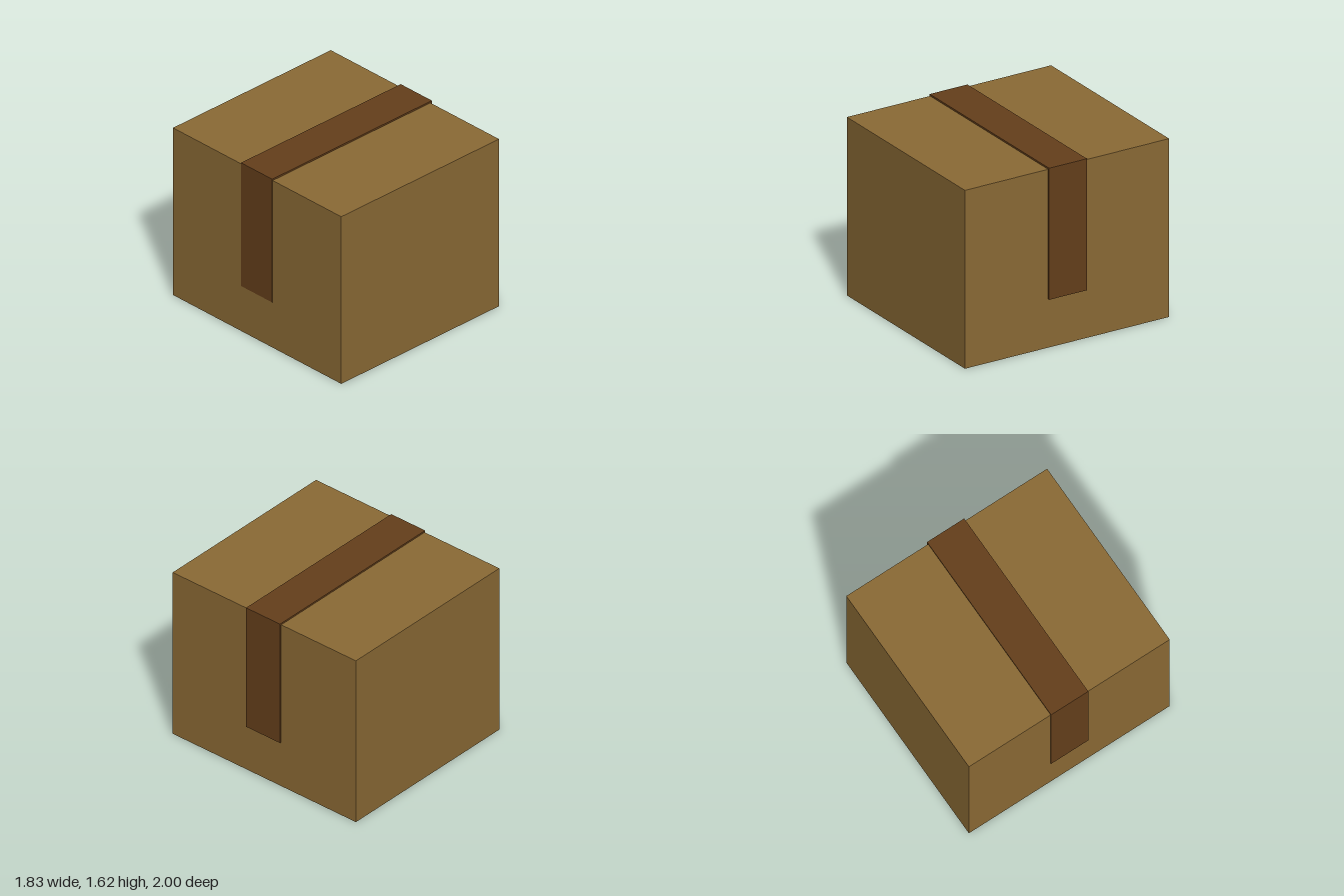
import * as THREE from 'three';

export function createModel() {
  const model = new THREE.Group();
  model.name = 'cardboardBox';
  const cardboard = new THREE.MeshStandardMaterial({ color: 0x8b6a35 });
  const tapeBrown = new THREE.MeshStandardMaterial({ color: 0x653f1b });

  // Closed carton, sitting very slightly off centre under the tape
  const left = -0.91, right = 0.9, height = 1.604;
  const carton = new THREE.Mesh(new THREE.BoxGeometry(right - left, height, 2), cardboard);
  carton.name = 'carton';
  carton.position.set((left + right) / 2, height / 2, 0);
  model.add(carton);

  // Tape strip: an upside-down U folded over the top and down both sides
  const outer = 0.916, top = 1.619, bottom = 0.436, width = 0.37;
  const profile = new THREE.Shape([
    [-outer, bottom], [left, bottom], [left, height], [right, height],
    [right, bottom], [outer, bottom], [outer, top], [-outer, top],
  ].map(([x, y]) => new THREE.Vector2(x, y)));
  const strip = new THREE.ExtrudeGeometry(profile, { depth: width, bevelEnabled: false });
  strip.translate(0, 0, -width / 2);
  const tape = new THREE.Mesh(strip, tapeBrown);
  tape.name = 'tapeStrip';
  model.add(tape);

  return model;
}
